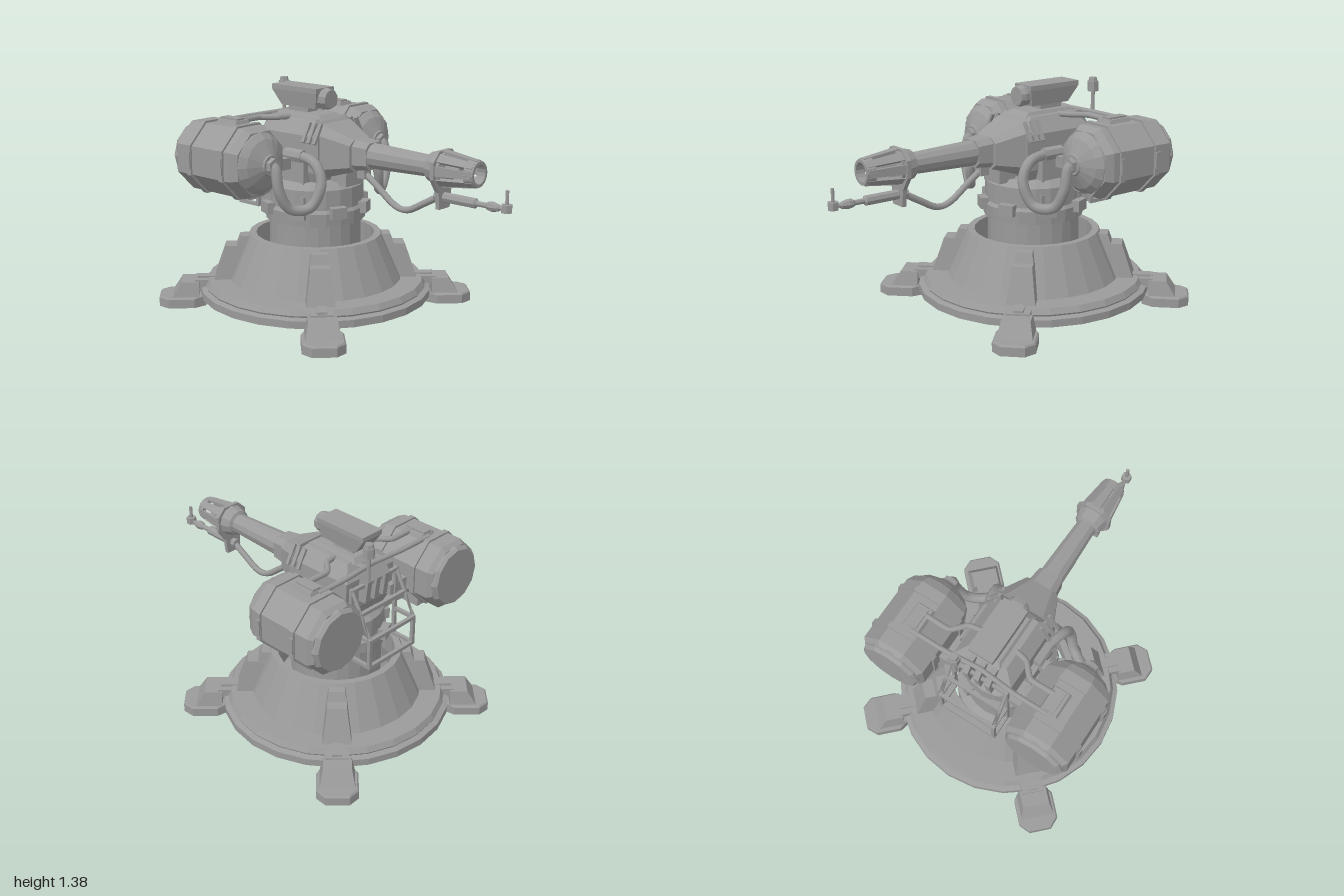
import * as THREE from 'three';
import { ConvexGeometry } from 'three/addons/geometries/ConvexGeometry.js';

const flat = new THREE.MeshStandardMaterial({ color: 0x9a9a9a, flatShading: true });
const smooth = new THREE.MeshStandardMaterial({ color: 0x9a9a9a });

function add(parent, name, geo, x = 0, y = 0, z = 0, mat = flat) {
  const m = new THREE.Mesh(geo, mat);
  m.name = name;
  m.position.set(x, y, z);
  parent.add(m);
  return m;
}
const box = (p, name, w, h, d, x, y, z) => add(p, name, new THREE.BoxGeometry(w, h, d), x, y, z);
const cyl = (p, name, r1, r2, h, n, x, y, z) => add(p, name, new THREE.CylinderGeometry(r1, r2, h, n), x, y, z);
const lathe = (pts, n, start = 0) => new THREE.LatheGeometry(pts.map(([r, h]) => new THREE.Vector2(r, h)), n, start);
// lathe whose axis runs forward along z
const latheZ = (pts, n) => lathe(pts, n).rotateX(Math.PI / 2);
// eight-sided version with level top and bottom, sized across its flats
const octagonZ = (pts) => lathe(pts.map(([r, h]) => [r / Math.cos(Math.PI / 8), h]), 8, Math.PI / 8).rotateX(Math.PI / 2);
const tube = (p, name, pts, r, n = 40, tension = 0.5) => add(p, name, new THREE.TubeGeometry(
  new THREE.CatmullRomCurve3(pts.map((q) => new THREE.Vector3(...q)), false, 'catmullrom', tension), n, r, 8), 0, 0, 0, smooth);
// convex block, mirrored in x, from [half width, y, z] corners
const hull = (p, name, pts) => add(p, name, new ConvexGeometry(
  pts.flatMap(([x, y, z]) => [new THREE.Vector3(x, y, z), new THREE.Vector3(-x, y, z)])));

function buildBase(root) {
  const base = new THREE.Group();
  base.name = 'base';
  root.add(base);
  // hollow disc and cone in one closed profile
  add(base, 'baseCone', lathe([[0.435, 0.07], [0.725, 0.07], [0.725, 0.115], [0.69, 0.125], [0.695, 0.135], [0.675, 0.17],
    [0.54, 0.17], [0.412, 0.455], [0.37, 0.455], [0.375, 0.3], [0.435, 0.07]], 24));
  // open tube hanging inside the cone, with a gap around it
  add(base, 'neck', lathe([[0.3, 0.09], [0.34, 0.09], [0.34, 0.28], [0.285, 0.31], [0.285, 0.565], [0.25, 0.565],
    [0.25, 0.31], [0.3, 0.28], [0.3, 0.09]], 24));

  for (let i = 0; i < 4; i++) {
    const leg = new THREE.Group();
    leg.name = 'supportLeg';
    leg.rotation.y = i * Math.PI / 2;
    base.add(leg);
    hull(leg, 'gusset', [[0.088, 0.16, 0.635], [0.088, 0.16, 0.45], [0.06, 0.38, 0.56], [0.06, 0.38, 0.4]]);
    hull(leg, 'gussetTop', [[0.06, 0.37, 0.495], [0.06, 0.37, 0.4], [0.05, 0.44, 0.47], [0.05, 0.44, 0.39]]);
    // foot pad with cut corners, then its sloping arm
    const pad = [];
    for (const [y, s] of [[0, 0], [0.055, 0], [0.065, 0.01]])
      pad.push([0.07, y, 0.98 - s], [0.125 - s, y, 0.92], [0.125 - s, y, 0.76], [0.075, y, 0.69]);
    hull(leg, 'footPad', pad);
    hull(leg, 'footArm', [[0.105, 0.06, 0.9], [0.085, 0.155, 0.84], [0.105, 0.06, 0.73], [0.085, 0.155, 0.73]]);
    box(leg, 'footBracket', 0.14, 0.06, 0.13, 0, 0.135, 0.69);
    box(leg, 'footClamp', 0.06, 0.025, 0.12, 0, 0.165, 0.68);
  }
}

function buildBody(t) {
  add(t, 'collar', lathe([[0, 0.56], [0.31, 0.56], [0.315, 0.64], [0.3, 0.66], [0.3, 0.78], [0.26, 0.82], [0, 0.82]], 20));
  for (let i = 0; i < 8; i++) {
    const a = (i + 0.5) * Math.PI / 4;
    box(t, 'collarLug', 0.1, 0.07, 0.06, Math.sin(a) * 0.315, 0.645, Math.cos(a) * 0.315).rotation.y = a;
  }
  hull(t, 'body', [[0.17, 0.8, -0.22], [0.17, 0.8, 0.16], [0.2, 0.9, -0.27], [0.2, 0.88, 0.2], [0.2, 1.1, -0.28],
    [0.2, 1.1, 0.2], [0.13, 1.19, -0.22], [0.13, 1.19, 0.12]]);
  hull(t, 'bodyNose', [[0.2, 0.9, 0.17], [0.2, 1.12, 0.17], [0.13, 0.84, 0.17], [0.13, 1.17, 0.17],
    [0.11, 0.93, 0.37], [0.11, 1.06, 0.37], [0.07, 0.9, 0.37], [0.07, 1.09, 0.37]]);
  hull(t, 'roofPlate', [[0.1, 1.18, -0.25], [0.1, 1.18, 0.14], [0.08, 1.21, -0.22], [0.08, 1.21, 0.1]]);
  box(t, 'chinBlock', 0.16, 0.1, 0.12, 0, 0.85, 0.26);
  for (const s of [-1, 1]) {
    box(t, 'yokeCheek', 0.06, 0.26, 0.24, s * 0.21, 0.82, 0);
    box(t, 'yokeFoot', 0.1, 0.08, 0.3, s * 0.22, 0.7, 0);
    for (let i = 0; i < 3; i++) {
      const rib = box(t, 'sideRib', 0.018, 0.13, 0.02, s * 0.19, 1.12, 0.1 + i * 0.045);
      rib.rotation.z = s * 0.5;
    }
  }

  // sight on its pedestal
  box(t, 'sightPedestal', 0.09, 0.06, 0.16, 0, 1.22, -0.1);
  hull(t, 'sightHousing', [[0.065, 1.24, -0.22], [0.065, 1.24, 0.06], [0.08, 1.335, -0.29], [0.08, 1.365, -0.29],
    [0.08, 1.335, 0.08], [0.08, 1.365, 0.08]]);
  add(t, 'sightLens', latheZ([[0, 0], [0.06, 0], [0.066, 0.07], [0.058, 0.1], [0, 0.1]], 10), 0, 1.3, 0.03);

  // aerial
  cyl(t, 'aerialPost', 0.012, 0.012, 0.16, 8, 0.12, 1.22, -0.375);
  cyl(t, 'aerialHead', 0.036, 0.036, 0.06, 6, 0.12, 1.325, -0.375);
  cyl(t, 'aerialCap', 0.025, 0.03, 0.025, 6, 0.12, 1.367, -0.375);

  // rear rack
  for (const s of [-1, 1]) {
    for (const z of [-0.46, -0.31]) box(t, 'rackPost', 0.022, z < -0.4 ? 0.2 : 0.48, 0.022, s * 0.19, z < -0.4 ? 0.7 : 0.84, z);
    for (const y of [0.61, 0.79]) box(t, 'rackSideRail', 0.022, 0.022, 0.17, s * 0.19, y, -0.385);
    tube(t, 'rackBrace', [[s * 0.19, 0.8, -0.46], [s * 0.19, 1.08, -0.31]], 0.012, 2);
  }
  for (const [y, z] of [[0.61, -0.46], [0.79, -0.46], [0.94, -0.385], [1.07, -0.315]])
    box(t, 'rackCrossRail', 0.4, 0.022, 0.022, 0, y, z);
  for (let i = -1; i <= 1; i++)
    hull(t, 'rearFin', [[0.018, 0.95, -0.26], [0.018, 0.95, -0.33], [0.018, 1.1, -0.35], [0.018, 1.18, -0.3], [0.018, 1.18, -0.2]])
      .position.x = i * 0.075;
}

function buildTank(t, s) {
  const tank = new THREE.Group();
  tank.name = s > 0 ? 'leftTank' : 'rightTank';
  t.add(tank);
  const X = s * 0.5, Y = 0.97;
  // eight-sided shell with a round nose and rear cap
  add(tank, 'tankShell', octagonZ([[0, -0.5], [0.185, -0.5], [0.208, -0.47], [0.208, -0.03], [0.185, 0.02], [0, 0.02]]), X, Y, 0);
  add(tank, 'tankNose', latheZ([[0, 0], [0.19, 0], [0.185, 0.025], [0.15, 0.06], [0.065, 0.1], [0.06, 0.11], [0, 0.11]], 16), X, Y, 0);
  add(tank, 'rearCap', latheZ([[0, -0.53], [0.18, -0.53], [0.195, -0.51], [0.195, -0.49], [0, -0.49]], 12), X, Y, 0);
  for (const z of [-0.36, -0.09]) {
    add(tank, 'tankBand', octagonZ([[0.2, -0.017], [0.22, -0.017], [0.22, 0.017], [0.2, 0.017]]), X, Y, z);
    box(tank, 'bandLug', 0.03, 0.1, 0.03, X + s * 0.213, Y, z);
    box(tank, 'tankArm', 0.2, 0.07, 0.06, s * 0.25, 0.93, z + 0.08);
  }
  // top pad and lower saddle
  hull(tank, 'topPad', [[0.07, 1.15, -0.33], [0.07, 1.15, -0.14], [0.05, 1.2, -0.31], [0.05, 1.2, -0.16]]).position.x = s * 0.47;
  box(tank, 'padLatch', 0.06, 0.02, 0.14, s * 0.47, 1.2, -0.24);
  box(tank, 'saddle', 0.14, 0.07, 0.26, s * 0.44, 0.77, -0.21);
  box(tank, 'saddleBeam', 0.3, 0.05, 0.1, s * 0.29, 0.78, -0.18);
  // fuel hose with end fittings
  tube(tank, 'hose', [[0.5, 0.97, 0.08], [0.5, 0.955, 0.14], [0.495, 0.82, 0.165], [0.43, 0.71, 0.19], [0.32, 0.71, 0.25],
    [0.265, 0.84, 0.285], [0.25, 0.95, 0.23], [0.22, 0.975, 0.1], [0.21, 0.975, -0.03]].map(([x, y, z]) => [s * x, y, z]), 0.032, 48);
  add(tank, 'hoseFitting', latheZ([[0, -0.03], [0.048, -0.03], [0.048, 0.02], [0, 0.02]], 6), X, Y, 0.12);
  add(tank, 'hoseFitting', latheZ([[0, -0.07], [0.042, -0.07], [0.042, 0.07], [0, 0.07]], 8), s * 0.215, 0.975, 0.03);
  // overhead pipes
  tube(tank, 'frontPipe', [[0.45, 1.19, -0.2], [0.28, 1.19, -0.2], [0.2, 1.19, -0.12], [0.12, 1.185, -0.1]]
    .map(([x, y, z]) => [s * x, y, z]), 0.018, 20, 0.2);
  tube(tank, 'rearPipe', [[0.47, 1.18, -0.32], [0.25, 1.18, -0.32], [0, 1.18, -0.3]].map(([x, y, z]) => [s * x, y, z]), 0.016, 20, 0.2);
}

function buildGun(t) {
  const gun = new THREE.Group();
  gun.name = 'gun';
  gun.position.y = 1;
  t.add(gun);
  hull(gun, 'barrelMount', [[0.095, -0.06, 0.34], [0.095, 0.06, 0.34], [0.06, 0.095, 0.34], [0.06, -0.095, 0.34],
    [0.08, -0.05, 0.47], [0.08, 0.05, 0.47], [0.05, 0.08, 0.47], [0.05, -0.08, 0.47]]);
  add(gun, 'barrel', latheZ([[0, 0.3], [0.08, 0.3], [0.078, 0.5], [0.064, 0.88], [0.084, 0.89], [0.1, 0.95], [0.102, 1.0],
    [0.05, 1.01], [0.045, 1.1], [0, 1.1]], 12));
  // slotted nozzle: bars between the collar and the end ring
  for (let i = 0; i < 8; i++) {
    const holder = new THREE.Group();
    holder.name = 'nozzleBar';
    holder.rotation.z = i * Math.PI / 4;
    gun.add(holder);
    hull(holder, 'bar', [[0.028, 0.085, 0.98], [0.028, 0.104, 0.98], [0.02, 0.06, 1.2], [0.02, 0.077, 1.2]]);
  }
  add(gun, 'nozzleRing', latheZ([[0.056, 1.155], [0.084, 1.155], [0.074, 1.21], [0.056, 1.21], [0.056, 1.155]], 16));

  // hanger plate holding the pilot burner
  const plate = new THREE.Shape([[-0.05, -0.23], [0.05, -0.23], [0.06, -0.13], [0.115, -0.05], [0.115, 0.05], [0.06, 0.105],
    [-0.06, 0.105], [-0.115, 0.05], [-0.115, -0.05], [-0.06, -0.13]].map((q) => new THREE.Vector2(...q)));
  add(gun, 'hangerPlate', new THREE.ExtrudeGeometry(plate, { depth: 0.026, bevelEnabled: false }), 0, 0, 0.955);
  add(gun, 'pilotBurner', latheZ([[0, 0.92], [0.03, 0.92], [0.03, 1.19], [0.016, 1.2], [0.016, 1.26], [0.026, 1.275],
    [0.03, 1.3], [0.02, 1.34], [0.012, 1.35], [0.012, 1.39], [0, 1.39]], 8), 0, -0.165, 0);
  cyl(gun, 'pilotTip', 0.033, 0.033, 0.045, 6, 0, -0.16, 1.39);
  cyl(gun, 'pilotWick', 0.011, 0.011, 0.09, 6, 0, -0.105, 1.39);
  tube(gun, 'pilotLine', [[0, -0.09, 0.36], [0, -0.17, 0.48], [0, -0.27, 0.62], [0, -0.285, 0.72], [0, -0.23, 0.83], [0, -0.168, 0.94]], 0.02);
  box(gun, 'lineClamp', 0.06, 0.09, 0.06, 0, -0.1, 0.39);
}

export function createModel() {
  const root = new THREE.Group();
  root.name = 'turret';
  const centre = new THREE.Group();
  centre.name = 'turretCentre';
  centre.position.set(-0.02, 0, -0.02);
  root.add(centre);
  buildBase(centre);
  // the upper part is swung an eighth of a turn
  const head = new THREE.Group();
  head.name = 'rotatingHead';
  head.rotation.y = Math.PI / 4;
  centre.add(head);
  buildBody(head);
  for (const s of [-1, 1]) buildTank(head, s);
  buildGun(head);
  return root;
}
